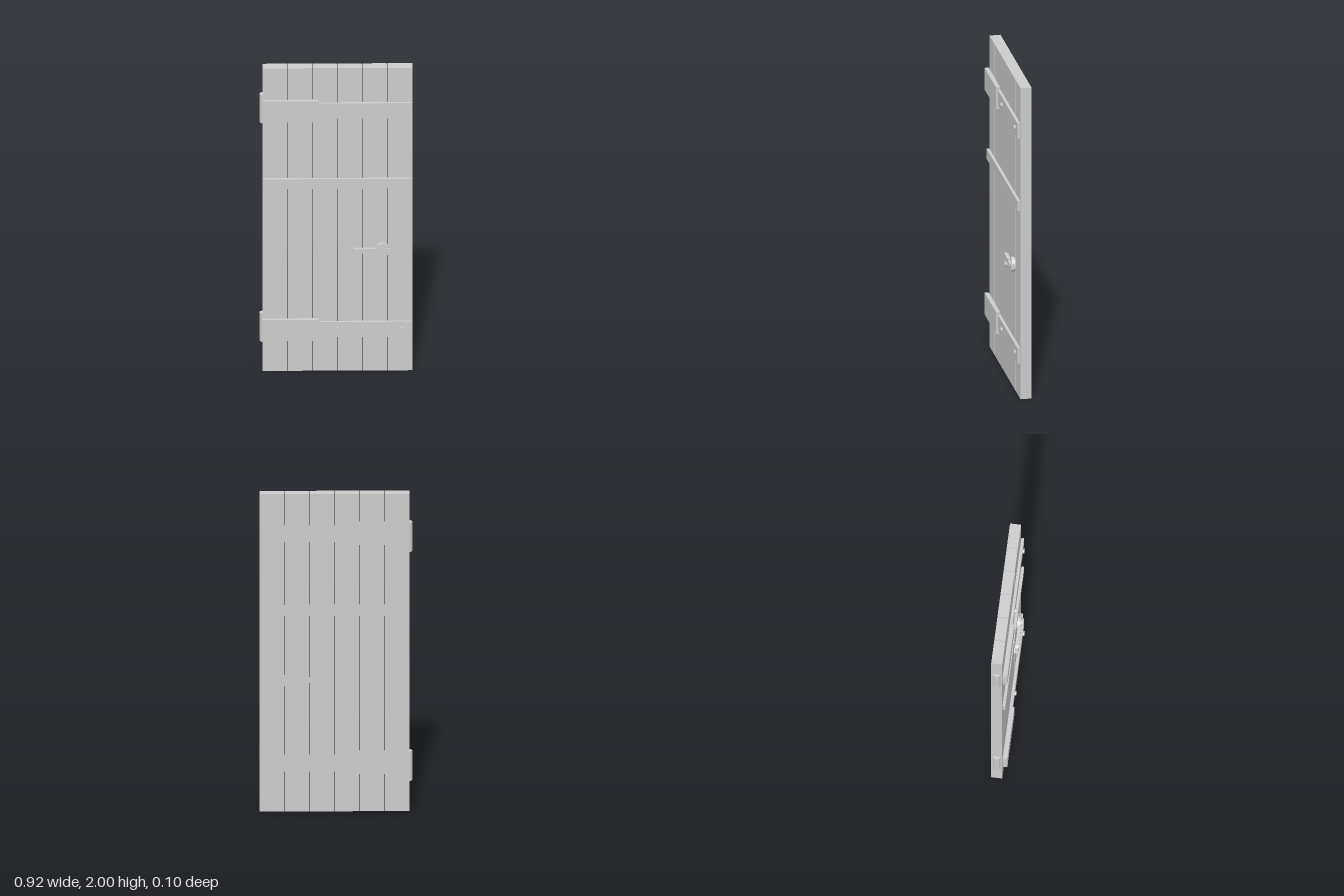
import * as THREE from 'three';

const material = new THREE.MeshStandardMaterial({ color: 0xcccccc });

function add(parent, name, geometry, x, y, z) {
  const mesh = new THREE.Mesh(geometry, material);
  mesh.name = name;
  mesh.position.set(x, y, z);
  parent.add(mesh);
  return mesh;
}

// Box given by its limits on each axis
function box(parent, name, [x0, x1], [y0, y1], [z0, z1]) {
  return add(parent, name, new THREE.BoxGeometry(x1 - x0, y1 - y0, z1 - z0),
    (x0 + x1) / 2, (y0 + y1) / 2, (z0 + z1) / 2);
}

// Round part whose axis points out of the door
function disc(parent, name, x, y, [z0, z1], rBack, rFront, sides = 24) {
  const geometry = new THREE.CylinderGeometry(rFront, rBack, z1 - z0, sides);
  geometry.rotateX(Math.PI / 2);
  return add(parent, name, geometry, x, y, (z0 + z1) / 2);
}

function createHinge(y) {
  const hinge = new THREE.Group();
  hinge.name = 'hinge';
  box(hinge, 'hingeStrap', [-0.44, 0.455], [y - 0.05, y + 0.05], [0.016, 0.033]);
  box(hinge, 'hingePlate', [-0.443, -0.108], [y - 0.07, y + 0.07], [0.02, 0.045]);
  add(hinge, 'hingeBarrel', new THREE.CylinderGeometry(0.025, 0.025, 0.186, 12), -0.436, y, -0.02);
  for (const x of [0.007, 0.392]) disc(hinge, 'bolt', x, y, [0.03, 0.043], 0.015, 0.015, 12);
  return hinge;
}

function createHandle() {
  const handle = new THREE.Group();
  handle.name = 'handle';
  disc(handle, 'rosette', 0.275, 0.802, [0.014, 0.036], 0.045, 0.043);
  disc(handle, 'boss', 0.275, 0.802, [0.034, 0.051], 0.022, 0.026);

  // Flat lever with a rounded elbow that turns down at its end
  const shape = new THREE.Shape();
  shape.moveTo(0.323, 0.786);
  shape.lineTo(0.323, 0.817);
  shape.lineTo(0.125, 0.817);
  shape.quadraticCurveTo(0.097, 0.817, 0.097, 0.79);
  shape.lineTo(0.097, 0.745);
  shape.lineTo(0.128, 0.745);
  shape.lineTo(0.132, 0.786);
  shape.closePath();
  const lever = new THREE.ExtrudeGeometry(shape, { depth: 0.022, bevelEnabled: false, curveSegments: 6 });
  add(handle, 'lever', lever, 0, 0, 0.022);
  disc(handle, 'leverTip', 0.112, 0.746, [0.016, 0.04], 0.022, 0.022);
  return handle;
}

export function createModel() {
  const door = new THREE.Group();
  door.name = 'plankDoor';

  // Six upright planks with thin gaps
  const left = -0.443, pitch = 0.15, gap = 0.004;
  for (let i = 0; i < 6; i++) {
    const x = left + i * pitch;
    box(door, 'plank', [x, x + pitch - (i < 5 ? gap : 0)], [0, 2], [-0.053, 0.014]);
  }

  // Cross bar, hinges and handle on the front
  box(door, 'crossBar', [-0.443, 0.455], [1.21, 1.275], [0.016, 0.033]);
  for (const y of [0.28, 1.725]) door.add(createHinge(y));
  door.add(createHandle());
  return door;
}
